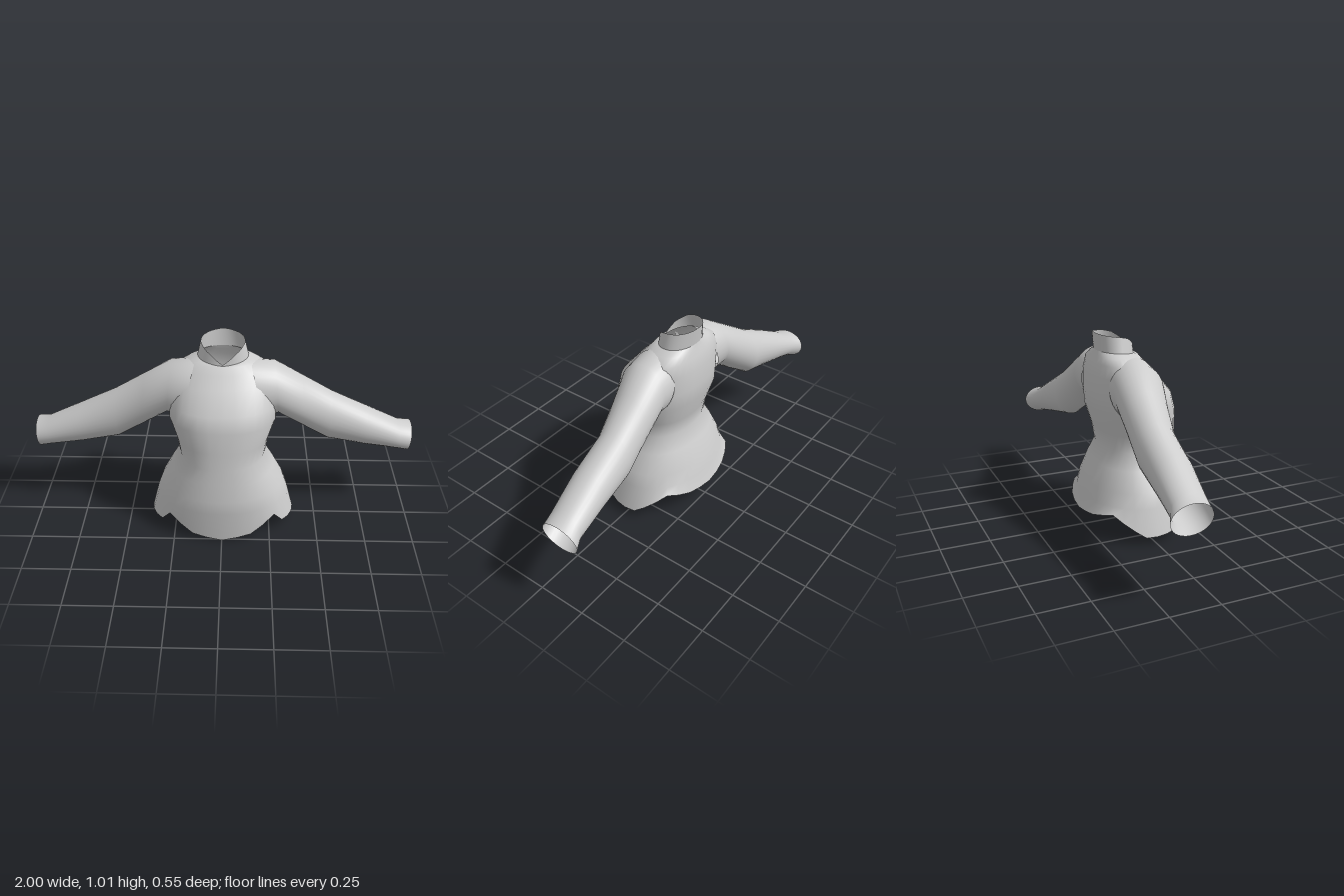
import * as THREE from 'three';

const SEG = 32;
const cloth = new THREE.MeshStandardMaterial({ color: 0xcccccc, side: THREE.DoubleSide });
cloth.name = 'light grey cloth';

// Piecewise linear lookup in [angle, value] pairs; angle 0 is the front, 180 the back
function lookup(pairs, a) {
  for (let i = 1; i < pairs.length; i++) {
    const [a0, v0] = pairs[i - 1], [a1, v1] = pairs[i];
    if (a <= a1) return v0 + (v1 - v0) * (a - a0) / (a1 - a0);
  }
  return pairs[pairs.length - 1][1];
}

// Open tube through rings of points, smooth all round
function loft(name, rings) {
  const pos = rings.flat(2), index = [];
  for (let i = 0; i < rings.length - 1; i++) {
    for (let j = 0; j < SEG; j++) {
      const k = (j + 1) % SEG;
      const a = i * SEG + j, b = i * SEG + k, c = a + SEG, d = b + SEG;
      index.push(a, b, d, a, d, c);
    }
  }
  const geo = new THREE.BufferGeometry();
  geo.setAttribute('position', new THREE.Float32BufferAttribute(pos, 3));
  geo.setIndex(index);
  geo.computeVertexNormals();
  const mesh = new THREE.Mesh(geo, cloth);
  mesh.name = name;
  return mesh;
}

// Horizontal ring: half width, front z, back z, z of the widest point, heights by angle
function bodyRing(w, zf, zb, zs, heights, power = 2.3) {
  const round = v => Math.sign(v) * Math.abs(v) ** (2 / power);
  return Array.from({ length: SEG }, (_, j) => {
    const t = j / SEG * Math.PI * 2;
    const deg = Math.min(j, SEG - j) / SEG * 360;
    const c = round(Math.cos(t));
    return [w * round(Math.sin(t)), lookup(heights, deg), zs + c * (c > 0 ? zf - zs : zs - zb)];
  });
}
const level = y => [[0, y], [180, y]];

// Sleeve ring: top point, bottom point, front z, back z
function sleeveRing([xt, yt, xb, yb, zf, zb], side) {
  return Array.from({ length: SEG }, (_, j) => {
    const t = side * j / SEG * Math.PI * 2;
    const u = (1 + Math.cos(t)) / 2;
    return [side * (xb + (xt - xb) * u), yb + (yt - yb) * u,
      (zf + zb) / 2 + (zf - zb) / 2 * Math.sin(t)];
  });
}

export function createModel() {
  const model = new THREE.Group();
  model.name = 'shirt';

  // Body with a notched shirt-tail hem, narrow waist and sloping shoulders
  const hem = [[0, 0], [22.5, 0.03], [45, 0.12], [56.25, 0.055], [67.5, 0.05],
    [90, 0.042], [101.25, 0.042], [135, 0.15], [157.5, 0.115], [180, 0.1]];
  const neckline = [[0, 0.9], [90, 0.92], [180, 0.925]];
  model.add(loft('body', [
    bodyRing(0.38, 0.26, -0.275, 0, hem, 2.1),
    bodyRing(0.345, 0.275, -0.25, 0, level(0.18), 2.1),
    bodyRing(0.32, 0.27, -0.235, 0, level(0.25), 2.1),
    bodyRing(0.265, 0.257, -0.19, 0, level(0.35)),
    bodyRing(0.22, 0.245, -0.155, 0.01, level(0.43)),
    bodyRing(0.235, 0.235, -0.17, 0.01, level(0.52)),
    bodyRing(0.272, 0.223, -0.203, 0, level(0.63)),
    bodyRing(0.27, 0.2, -0.207, -0.01, level(0.71)),
    bodyRing(0.255, 0.115, -0.205, -0.05, level(0.81)),
    bodyRing(0.225, 0.06, -0.188, -0.08, level(0.87)),
    bodyRing(0.17, 0.035, -0.176, -0.085, level(0.902)),
    bodyRing(0.128, 0.02, -0.17, -0.08, neckline, 2),
  ]));

  // Stand-up collar, open in a V at the front
  const collarTop = [[0, 0.905], [33.75, 0.955], [67.5, 0.988], [90, 0.997], [180, 1.015]];
  model.add(loft('collar', [
    bodyRing(0.128, 0.02, -0.17, -0.08, neckline, 2),
    bodyRing(0.11, 0.018, -0.18, -0.08, collarTop, 2),
  ]));

  // Sleeves hanging outward and slightly back, open at the cuffs
  const sleeve = [
    [0.14, 0.905, 0.23, 0.6, 0.09, -0.175],
    [0.26, 0.89, 0.285, 0.62, 0.075, -0.185],
    [0.4, 0.802, 0.42, 0.525, 0.035, -0.19],
    [0.56, 0.7, 0.55, 0.435, 0, -0.2],
    [0.75, 0.605, 0.75, 0.395, -0.01, -0.21],
    [0.93, 0.51, 0.93, 0.36, -0.038, -0.222],
    [1, 0.492, 0.98, 0.343, -0.048, -0.25],
  ];
  for (const side of [1, -1]) {
    model.add(loft(side > 0 ? 'leftSleeve' : 'rightSleeve', sleeve.map(r => sleeveRing(r, side))));
  }
  return model;
}
